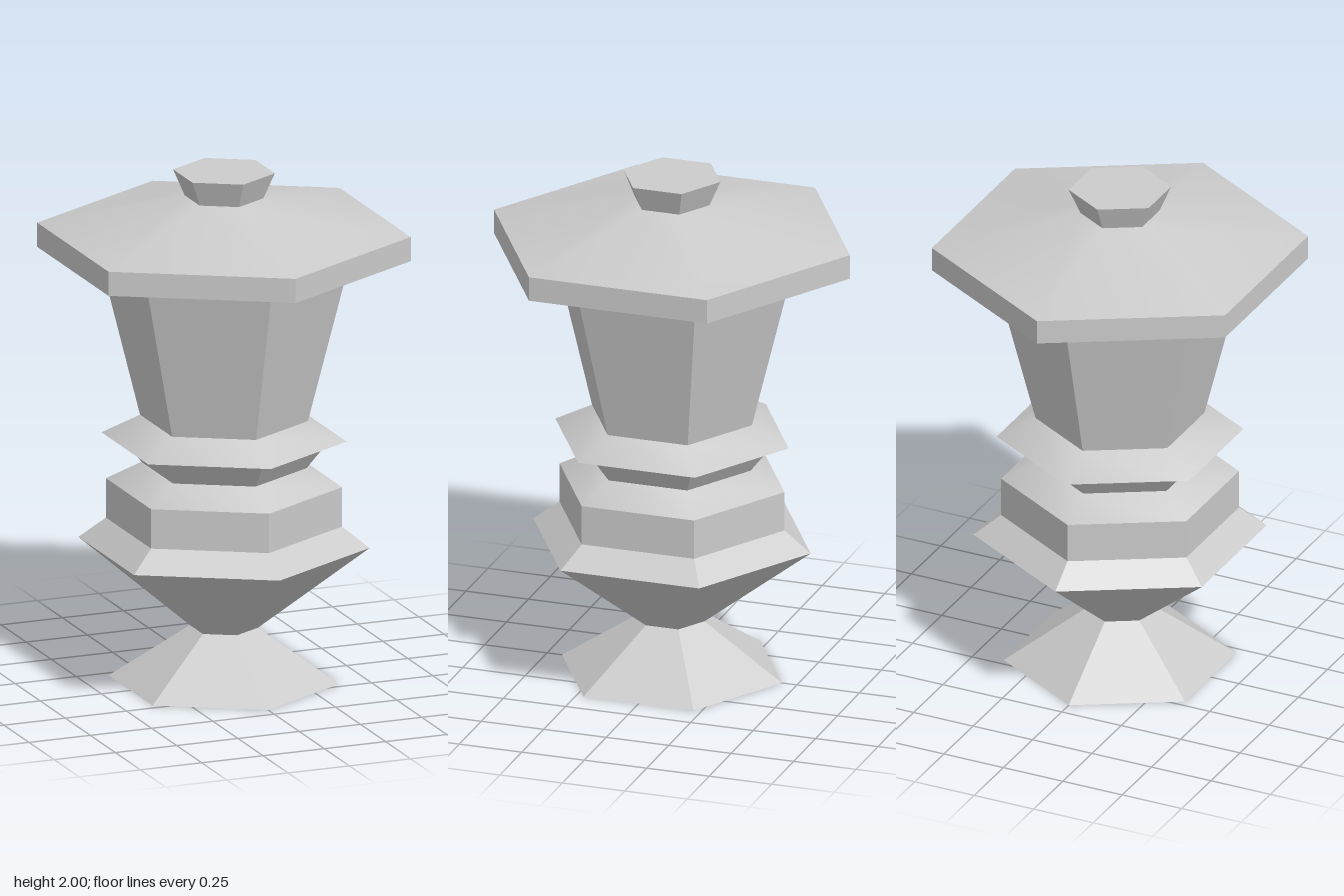
import * as THREE from 'three';
import { toCreasedNormals } from 'three/addons/utils/BufferGeometryUtils.js';

const SIDES = 6;

// Six-sided turned part from [radius, height] pairs, listed bottom to top.
function turned(name, profile, material) {
  const points = profile.map(([r, y]) => new THREE.Vector2(r, y));
  const geometry = toCreasedNormals(new THREE.LatheGeometry(points, SIDES), Math.PI / 6);
  const mesh = new THREE.Mesh(geometry, material);
  mesh.name = name;
  return mesh;
}

export function createModel() {
  const group = new THREE.Group();
  group.name = 'hexagonalLantern';
  const grey = new THREE.MeshStandardMaterial({ color: 0xcccccc });

  const parts = {
    // Closed underside, tapering up to the narrow waist
    foot: [[0, 0], [0.44, 0], [0.13, 0.21]],
    // Wide bowl with a sloping shoulder
    bowl: [[0.13, 0.21], [0.555, 0.54], [0.45, 0.62]],
    // Upright band with a bevelled top
    band: [[0.45, 0.62], [0.45, 0.775], [0.315, 0.845]],
    neck: [[0.315, 0.845], [0.4, 0.955]],
    // Overhanging collar with a flat underside
    collar: [[0.4, 0.955], [0.467, 0.955], [0.32, 1.03]],
    // Flared light chamber
    chamber: [[0.32, 1.03], [0.482, 1.675]],
    // Broad roof: flat soffit, upright edge, shallow slope
    roof: [[0.482, 1.675], [0.712, 1.675], [0.712, 1.77], [0.15, 1.9]],
    // Flared finial with a closed top
    finial: [[0.15, 1.9], [0.194, 2], [0, 2]],
  };

  for (const [name, profile] of Object.entries(parts)) {
    group.add(turned(name, profile, grey));
  }
  return group;
}
